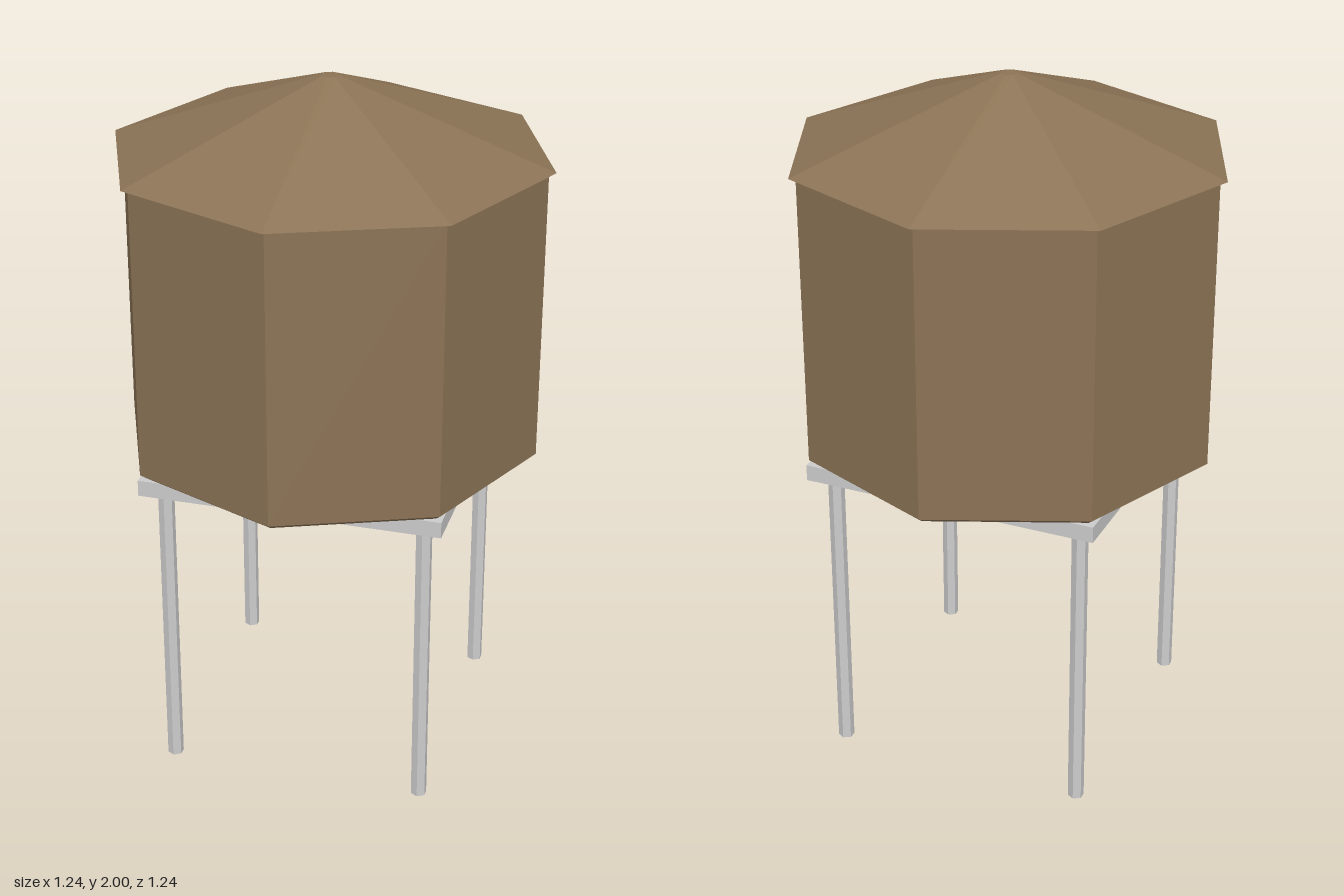
import * as THREE from 'three';

export function createModel() {
  const model = new THREE.Group();
  const wood = new THREE.MeshStandardMaterial({ color: 0x8b7355, flatShading: true });
  const grey = new THREE.MeshStandardMaterial({ color: 0xcccccc, flatShading: true });

  const add = (name, geometry, material, x, y, z) => {
    const mesh = new THREE.Mesh(geometry, material);
    mesh.name = name;
    mesh.position.set(x, y, z);
    model.add(mesh);
  };
  // Prism or frustum standing between two heights
  const frustum = (name, rTop, rBottom, y0, y1, sides, material, x = 0, z = 0) =>
    add(name, new THREE.CylinderGeometry(rTop, rBottom, y1 - y0, sides), material, x, (y0 + y1) / 2, z);

  // Octagonal tank with a small bevel at its base
  frustum('tankWall', 0.6, 0.6, 0.947, 1.785, 8, wood);
  frustum('tankBase', 0.6, 0.58, 0.932, 0.947, 8, wood);

  // Overhanging roof with a tiny flat top
  frustum('roof', 0.025, 0.62, 1.785, 2, 8, wood);

  // Square platform and four six-sided legs
  add('platform', new THREE.BoxGeometry(0.86, 0.047, 0.86), grey, 0, 0.9085, 0);
  for (const x of [-0.37, 0.37])
    for (const z of [-0.37, 0.37]) frustum('leg', 0.023, 0.023, 0, 0.885, 6, grey, x, z);

  return model;
}
